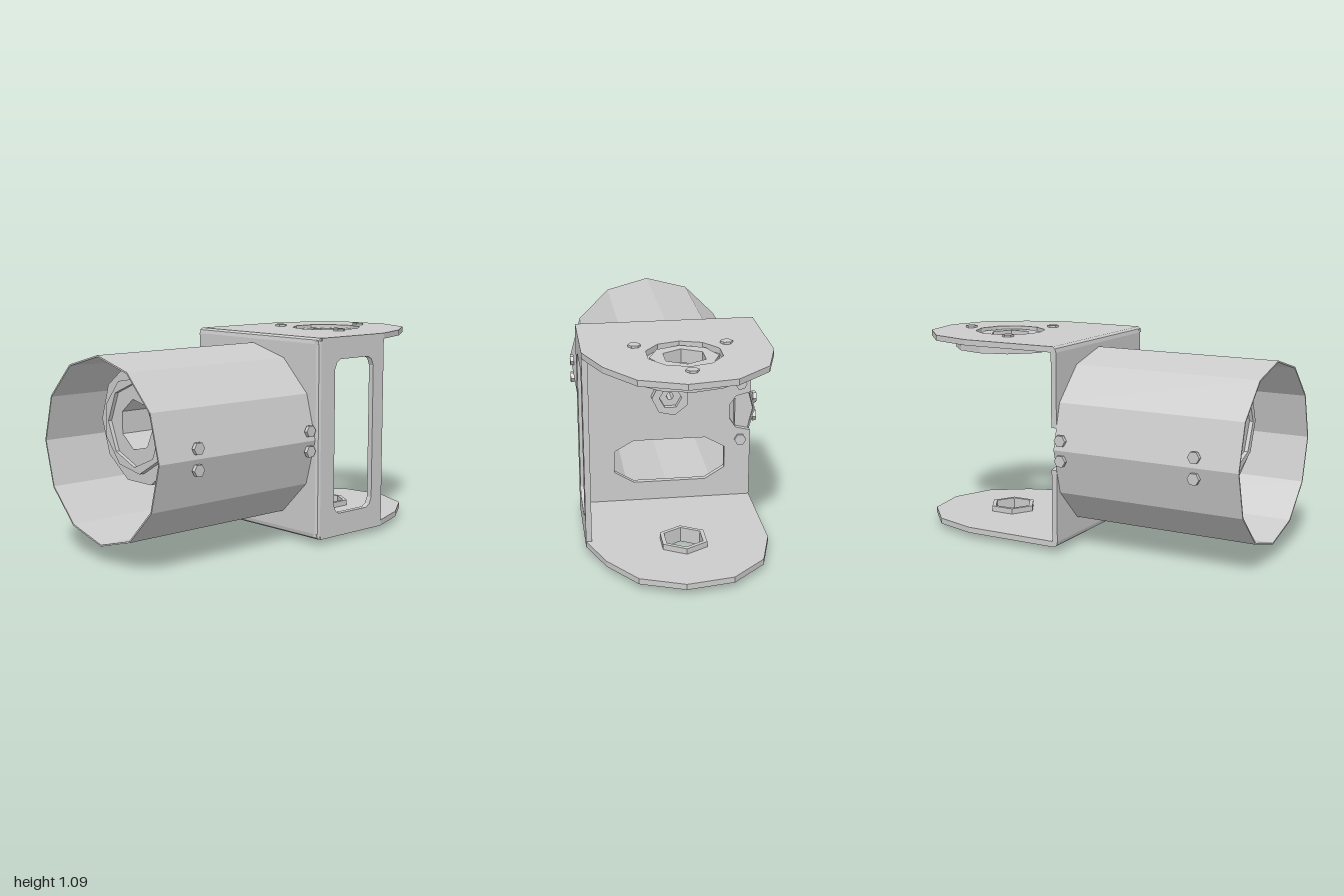
import * as THREE from 'three';

const TAU = Math.PI * 2;
const CX = -0.005; // common centre line of the round parts

export function createModel() {
  const model = new THREE.Group();
  const grey = new THREE.MeshStandardMaterial({ color: 0xcccccc, flatShading: true });

  const points = list => list.map(([x, y]) => new THREE.Vector2(x, y));
  const ngon = (n, r, phase = 0) => Array.from({ length: n }, (_, i) => {
    const a = phase + (i / n) * TAU;
    return [r * Math.cos(a), r * Math.sin(a)];
  });
  const moved = (list, dx, dy) => list.map(([x, y]) => [x + dx, y + dy]);

  // Extrude an outline with holes along an axis:
  // z: (x, y) stay; y: the outline is (x, -z); x: the outline is (-z, y)
  function solid(name, outline, holes, depth, axis, pos) {
    const shape = new THREE.Shape(points(outline));
    holes.forEach(h => shape.holes.push(new THREE.Path(points(h))));
    const geo = new THREE.ExtrudeGeometry(shape, { depth, bevelEnabled: false });
    if (axis === 'y') geo.rotateX(-Math.PI / 2);
    if (axis === 'x') geo.rotateY(Math.PI / 2);
    const mesh = new THREE.Mesh(geo, grey);
    mesh.name = name;
    mesh.position.set(...pos);
    model.add(mesh);
    return mesh;
  }
  const bolt = (axis, depth, x, y, z, r = 0.032) =>
    solid('bolt', ngon(6, r), [], depth, axis, [x, y, z]);

  // Main tube
  const tubeY = 0.553;
  solid('tube', ngon(12, 0.47, Math.PI / 2), [ngon(12, 0.462, Math.PI / 2)], 1.01, 'z', [CX, tubeY, -0.01]);
  for (const z of [0.77, 0.03]) for (const y of [0.605, 0.5]) {
    bolt('x', 0.02, 0.458, y, z);
    bolt('x', 0.02, -0.486, y, z);
  }

  // Back plate with a large opening, a shaft hole and an edge notch
  const opening = [[-0.305, 0.35], [-0.2, 0.41], [0.19, 0.41], [0.295, 0.35],
    [0.295, 0.23], [0.19, 0.165], [-0.2, 0.165], [-0.305, 0.23]];
  const shaftY = 0.66;
  solid('backPlate', [[-0.445, 0.06], [0.455, 0.06], [0.455, 1.045], [-0.445, 1.045],
    [-0.445, 0.66], [-0.365, 0.64], [-0.33, 0.59], [-0.33, 0.515], [-0.365, 0.46], [-0.445, 0.44]],
  [opening, moved(ngon(7, 0.09), CX, shaftY)], 0.03, 'z', [0, 0, -0.04]);
  for (const y of [0.71, 0.39]) bolt('z', 0.015, -0.39, y, -0.055);

  // Reinforcing block inside the tube wall
  solid('innerTab', [[-0.365, 0.36], [-0.365, 0.745], [-0.415, 0.745], [-0.463, 0.555], [-0.415, 0.36]],
    [], 0.05, 'z', [0, 0, -0.01]);

  // Chamfered bends where the back plate meets the top, bottom and side
  const bend = [[0.01, 1.045], [0.04, 1.045], [0.04, 1.075], [0.03, 1.075], [0.015, 1.065]];
  solid('topBend', bend, [], 0.925, 'x', [-0.445, 0, 0]);
  solid('bottomBend', bend.map(([x, y]) => [x, 1.105 - y]).reverse(), [], 0.925, 'x', [-0.445, 0, 0]);
  solid('sideBend', [[0.455, 0.01], [0.467, 0.01], [0.48, 0.017], [0.486, 0.03], [0.486, 0.04], [0.455, 0.04]],
    [], 1.015, 'y', [0, 0.045, 0]);

  // Side plate with a window
  solid('sidePlate', [[0.035, 0.03], [0.5, 0.03], [0.5, 1.075], [0.035, 1.075]],
    [[[0.17, 0.15], [0.38, 0.15], [0.405, 0.165], [0.42, 0.2], [0.42, 0.91], [0.405, 0.945], [0.38, 0.96],
      [0.17, 0.96], [0.145, 0.945], [0.13, 0.91], [0.13, 0.2], [0.145, 0.165]]],
    0.03, 'x', [0.456, 0, 0]);

  // Top and bottom plates with rounded tails
  const tail = [[-0.445, 0.04], [0.485, 0.04], [0.485, 0.5], [0.4, 0.72], [0.26, 0.915],
    [0.04, 1.0], [-0.2, 0.96], [-0.375, 0.8], [-0.445, 0.565]];
  const axleZ = -0.57;
  const hex = r => ngon(6, r, Math.PI / 2);
  const hexAt = r => moved(hex(r), CX, -axleZ);
  solid('topPlate', tail, [moved(ngon(10, 0.19, Math.PI / 2), CX, -axleZ)], 0.03, 'y', [0, 1.045, 0]);
  solid('bottomPlate', tail, [hexAt(0.12)], 0.03, 'y', [0, 0.03, 0]);

  // Upper bearing under the top plate
  solid('upperBearing', ngon(12, 0.3, Math.PI / 2), [ngon(10, 0.225)], 0.06, 'y', [CX, 0.985, axleZ]);
  solid('upperBearingWeb', ngon(10, 0.235), [ngon(9, 0.16)], 0.045, 'y', [CX, 1.0, axleZ]);
  solid('upperBearingRace', ngon(8, 0.17), [hex(0.112)], 0.07, 'y', [CX, 0.99, axleZ]);
  for (const [x, z] of [[-0.005, -0.83], [-0.233, -0.435], [0.223, -0.435]]) bolt('y', 0.012, x, 1.074, z);

  // Lower hub: a collar above the bottom plate, a bolted flange below
  solid('lowerCollar', ngon(6, 0.13, Math.PI / 2), [hex(0.107)], 0.06, 'y', [CX, 0.03, axleZ]);
  solid('lowerFlange', ngon(12, 0.26), [hex(0.107)], 0.02, 'y', [CX, 0.011, axleZ]);
  for (const sx of [-1, 1]) for (const sz of [-1, 1])
    bolt('y', 0.012, CX + sx * 0.16, 0, axleZ + sz * 0.155);

  // Drive hub inside the tube: stepped rings around a deep recess
  const rings = [
    ['hubBody', 9, 0.235, 7, 0.13, 0.0, 0.72],
    ['hubRearFlange', 16, 0.3, 7, 0.13, 0.7, 0.73],
    ['hubFlange', 10, 0.305, 9, 0.238, 0.73, 0.76],
    ['hubRim', 9, 0.243, 8, 0.21, 0.72, 0.79],
    ['hubFace', 8, 0.212, 7, 0.13, 0.71, 0.77],
    ['hubFloor', 9, 0.2, 6, 0.06, -0.01, 0.03],
    ['shaftNut', 7, 0.1, 6, 0.06, -0.08, 0.0],
    ['shaftCore', 6, 0.062, 6, 0.02, -0.05, 0.05],
  ];
  for (const [name, n, r, nIn, rIn, z0, z1] of rings)
    solid(name, ngon(n, r), [ngon(nIn, rIn)], z1 - z0, 'z', [CX, shaftY, z0]);

  return model;
}
